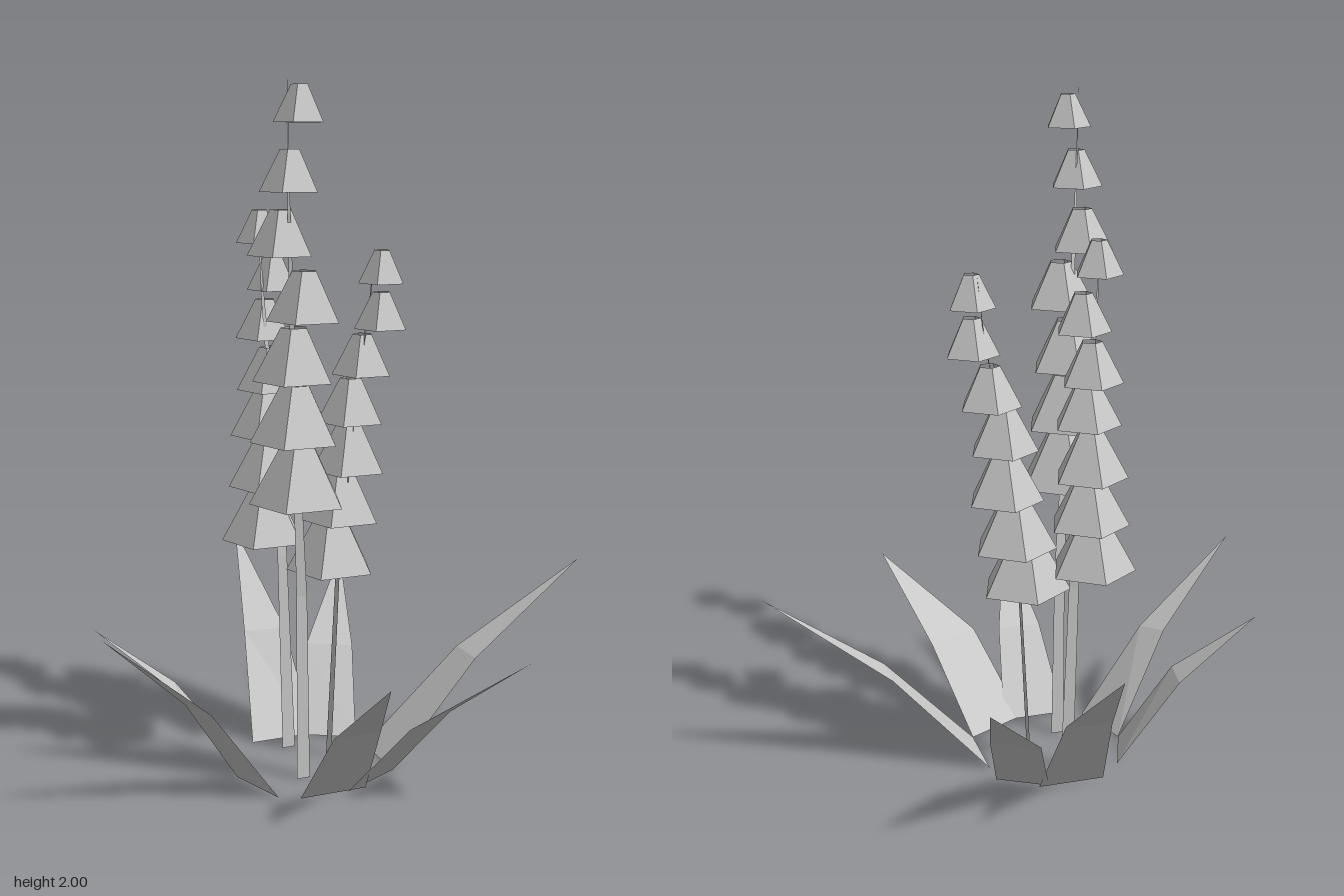
import * as THREE from 'three';

const grey = new THREE.MeshStandardMaterial({ color: 0xc8c8c8, flatShading: true, side: THREE.DoubleSide });
grey.name = 'pale grey';

// Flat-shaded strip through rows of [left point, right point]
function strip(rows, name) {
  const pos = [];
  for (let i = 0; i < rows.length - 1; i++) {
    const [a, b] = rows[i], [c, d] = rows[i + 1];
    pos.push(...a, ...b, ...d, ...a, ...d, ...c);
  }
  const geo = new THREE.BufferGeometry();
  geo.setAttribute('position', new THREE.Float32BufferAttribute(pos, 3));
  geo.computeVertexNormals();
  const mesh = new THREE.Mesh(geo, grey);
  mesh.name = name;
  return mesh;
}

// Leaves: base edge, middle edge, tip
const leaves = [
  [[[0.12, 0, 0.155], [0.12, 0, -0.05]], [[0.4, 0.3, 0.135], [0.4, 0.3, 0.01]], [0.765, 0.565, 0.108]],
  [[[-0.065, 0, 0.25], [0.12, 0, 0.155]], [[0.04, 0.24, 0.44], [0.2, 0.24, 0.36]], [0.3, 0.46, 0.64]],
  [[[-0.205, 0, 0.24], [-0.005, 0, 0.24]], [[-0.178, 0.24, 0.42], [-0.04, 0.24, 0.42]], [-0.128, 0.455, 0.675]],
  [[[-0.32, 0, 0.03], [-0.26, 0, 0.21]], [[-0.51, 0.29, 0.145], [-0.46, 0.28, 0.225]], [-0.77, 0.545, 0.262]],
  [[[-0.26, 0, -0.13], [-0.32, 0, 0.03]], [[-0.45, 0.25, -0.147], [-0.47, 0.25, -0.03]], [-0.69, 0.44, -0.15]],
  [[[0.01, 0, -0.2], [-0.19, 0, -0.2]], [[-0.01, 0.29, -0.39], [-0.14, 0.29, -0.41]], [-0.074, 0.55, -0.68]],
  [[[0.12, 0, -0.12], [-0.02, 0, -0.2]], [[0.19, 0.23, -0.31], [0.06, 0.23, -0.38]], [0.263, 0.455, -0.585]],
];

// Flower stalks: stem path, ribbon width axis, bells from top to bottom [x, top y, z]
const stalks = [
  {
    axis: [1, 0, 0], big: 0.14,
    path: [[-0.145, 0, 0.11], [-0.15, 0.55, 0.115], [-0.17, 0.85, 0.14], [-0.2, 1.3, 0.18], [-0.235, 1.65, 0.25], [-0.265, 2, 0.32]],
    bells: [[-0.23, 1.965, 0.32], [-0.254, 1.803, 0.313], [-0.238, 1.645, 0.204], [-0.185, 1.485, 0.238],
      [-0.185, 1.325, 0.16], [-0.177, 1.165, 0.146], [-0.164, 1, 0.133]],
  },
  {
    axis: [1, 0, 0], big: 0.128,
    path: [[-0.1, 0, -0.125], [-0.11, 0.6, -0.145], [-0.12, 1, -0.18], [-0.14, 1.35, -0.21], [-0.15, 1.63, -0.225]],
    bells: [[-0.148, 1.625, -0.21], [-0.09, 1.493, -0.255], [-0.115, 1.36, -0.26], [-0.13, 1.227, -0.18],
      [-0.13, 1.095, -0.215], [-0.135, 0.955, -0.19], [-0.16, 0.812, -0.155]],
  },
  {
    axis: [0, 0, 1], big: 0.135,
    path: [[-0.012, 0, -0.02], [0.02, 0.58, -0.025], [0.085, 1.1, -0.045], [0.13, 1.35, -0.05], [0.15, 1.53, -0.055]],
    bells: [[0.157, 1.513, -0.02], [0.159, 1.392, -0.027], [0.122, 1.265, -0.079], [0.08, 1.14, -0.065],
      [0.077, 1.005, -0.07], [0.05, 0.87, -0.074], [0.01, 0.74, -0.047]],
  },
];

function makeStalk({ axis, big, path, bells }) {
  const stalk = new THREE.Group();
  stalk.name = 'flowerStalk';
  // Ribbon stem tapering to the tip
  const rows = path.map((p, i) => {
    const w = 0.02 * (1 - i / (path.length - 1));
    return [p.map((v, k) => v - axis[k] * w), p.map((v, k) => v + axis[k] * w)];
  });
  stalk.add(strip(rows, 'stem'));
  // Open five-sided bells, growing toward the bottom
  bells.forEach(([x, top, z], i) => {
    const t = i / (bells.length - 1);
    const r = THREE.MathUtils.lerp(0.07, big, t);
    const h = THREE.MathUtils.lerp(0.095, big * 1.23, t);
    const geo = new THREE.CylinderGeometry(r * 0.33, r, h, 5, 1, true, Math.PI);
    const bell = new THREE.Mesh(geo, grey);
    bell.name = 'bellFlower';
    bell.position.set(x, top - h / 2, z);
    stalk.add(bell);
  });
  return stalk;
}

export function createModel() {
  const plant = new THREE.Group();
  plant.name = 'bellFlowerPlant';
  for (const [base, middle, tip] of leaves) plant.add(strip([base, middle, [tip, tip]], 'leaf'));
  for (const s of stalks) plant.add(makeStalk(s));
  return plant;
}
